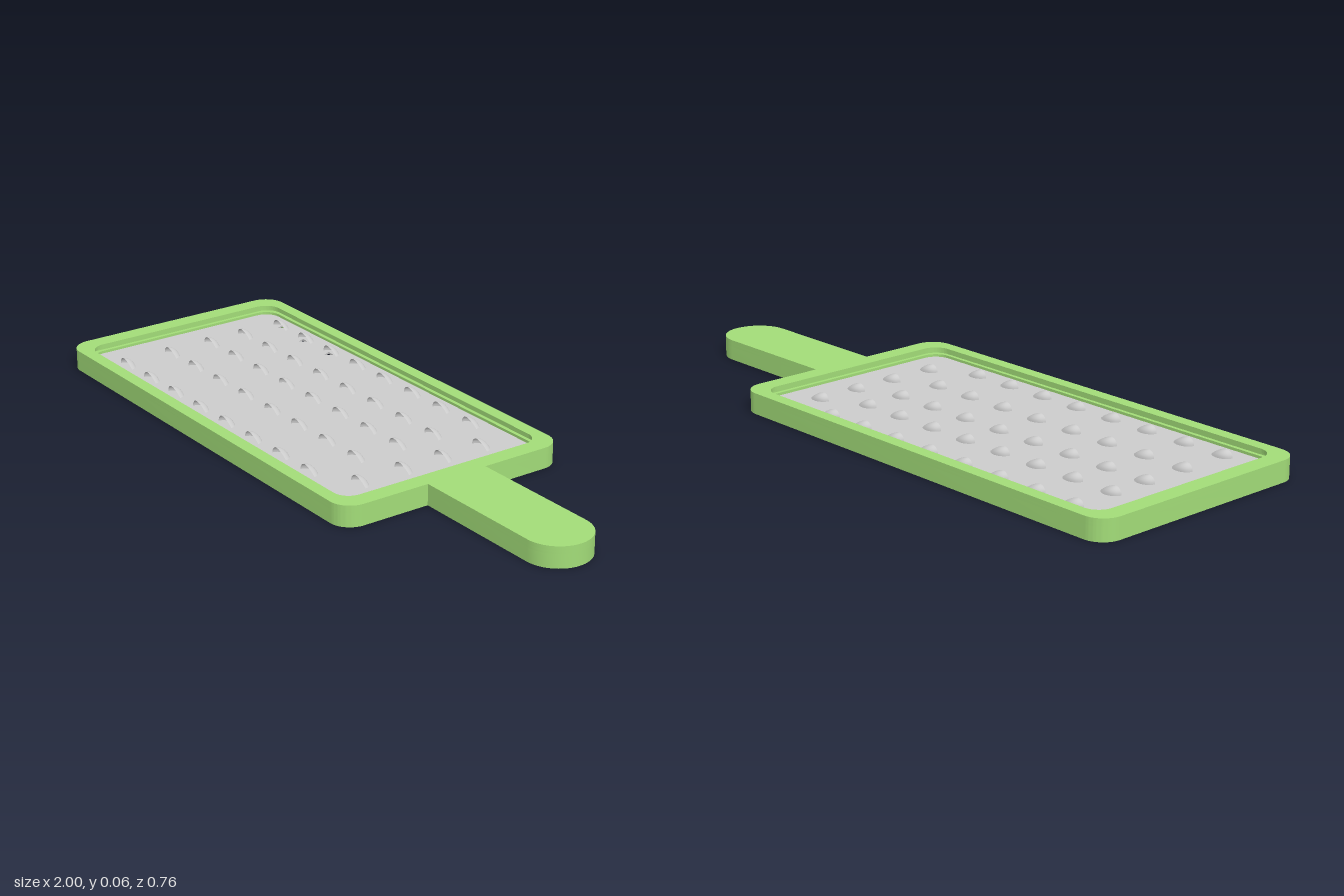
import * as THREE from 'three';
import { toCreasedNormals } from 'three/addons/utils/BufferGeometryUtils.js';

// Traces a rounded rectangle from (x0, -z) to (x1, z)
function roundedRect(path, x0, x1, z, r) {
  path.moveTo(x0 + r, -z);
  path.lineTo(x1 - r, -z);
  path.absarc(x1 - r, -z + r, r, -Math.PI / 2, 0);
  path.lineTo(x1, z - r);
  path.absarc(x1 - r, z - r, r, 0, Math.PI / 2);
  path.lineTo(x0 + r, z);
  path.absarc(x0 + r, z - r, r, Math.PI / 2, Math.PI);
  path.lineTo(x0, -z + r);
  path.absarc(x0 + r, -z + r, r, Math.PI, Math.PI * 1.5);
  return path;
}

// Frame and handle share one outline
function bodyOutline() {
  const s = new THREE.Shape();
  const r = 0.065, x0 = -1, x1 = 0.48, z = 0.38, h = 0.1;
  s.moveTo(x0 + r, -z);
  s.lineTo(x1 - r, -z);
  s.absarc(x1 - r, -z + r, r, -Math.PI / 2, 0);
  s.lineTo(x1, -h);
  s.lineTo(1 - h, -h);
  s.absarc(1 - h, 0, h, -Math.PI / 2, Math.PI / 2);
  s.lineTo(x1, h);
  s.lineTo(x1, z - r);
  s.absarc(x1 - r, z - r, r, 0, Math.PI / 2);
  s.lineTo(x0 + r, z);
  s.absarc(x0 + r, z - r, r, Math.PI / 2, Math.PI);
  s.lineTo(x0, -z + r);
  s.absarc(x0 + r, -z + r, r, Math.PI, Math.PI * 1.5);
  return s;
}

// Extrudes a plan shape upwards from y0 to y1
function slab(shape, y0, y1) {
  const g = new THREE.ExtrudeGeometry(shape, { depth: y1 - y0, bevelEnabled: false, curveSegments: 12 });
  g.rotateX(-Math.PI / 2);
  g.translate(0, y0, 0);
  return toCreasedNormals(g, 0.6);
}

export function createModel() {
  const model = new THREE.Group();
  const green = new THREE.MeshStandardMaterial({ color: 0xa2dc78 });
  const grey = new THREE.MeshStandardMaterial({ color: 0xcccccc });
  const shell = new THREE.MeshStandardMaterial({ color: 0xcccccc, side: THREE.DoubleSide });

  const add = (parent, name, geometry, material) => {
    const mesh = new THREE.Mesh(geometry, material);
    mesh.name = name;
    parent.add(mesh);
    return mesh;
  };

  // Frame in three layers, the middle one set back to leave a groove inside
  const frame = new THREE.Group();
  frame.name = 'frameAndHandle';
  model.add(frame);
  const layers = [
    ['lowerFrame', 0, 0.042, 0],
    ['grooveFrame', 0.042, 0.052, 0.012],
    ['upperFrame', 0.052, 0.064, 0],
  ];
  for (const [name, y0, y1, inset] of layers) {
    const s = bodyOutline();
    s.holes.push(roundedRect(new THREE.Path(), -0.945 - inset, 0.425 + inset, 0.34 + inset, 0.05));
    add(frame, name, slab(s, y0, y1), green);
  }

  // Grating plate with three small punched holes
  const plateTop = 0.034;
  const plate = roundedRect(new THREE.Shape(), -0.95, 0.43, 0.345, 0.05);
  for (const [x, z] of [[-0.822, -0.294], [-0.682, -0.278], [-0.54, -0.278]]) {
    const hole = new THREE.Path();
    hole.moveTo(x, -z + 0.012);
    hole.lineTo(x + 0.03, -z + 0.01);
    hole.lineTo(x + 0.012, -z - 0.014);
    hole.closePath();
    plate.holes.push(hole);
  }
  add(model, 'gratingPlate', slab(plate, plateTop - 0.006, plateTop), grey);

  // Tooth: half dome facing the handle, its mouth leaning back
  const tooth = new THREE.SphereGeometry(1, 12, 6, -Math.PI / 2, Math.PI, 0, Math.PI / 2);
  tooth.rotateY(Math.PI / 2);
  tooth.scale(0.034, 0.022, 0.027);
  tooth.computeBoundingBox();
  if (tooth.boundingBox.max.x > 0.01) tooth.rotateY(Math.PI);
  const p = tooth.attributes.position;
  for (let i = 0; i < p.count; i++) p.setX(i, p.getX(i) * (1 - 0.3 * p.getY(i) / 0.022) - 0.6 * p.getY(i));
  tooth.computeVertexNormals();

  const teeth = new THREE.Group();
  teeth.name = 'teeth';
  model.add(teeth);
  const addTooth = (x, z) => add(teeth, 'tooth', tooth, shell).position.set(x, plateTop, z);
  for (let c = 0; c < 8; c++) {
    for (const z of [-0.285, -0.147, -0.02, 0.127, 0.287]) addTooth(-0.808 + c * 0.1405, z);
  }
  for (const z of [-0.21, -0.072, 0.067, 0.216]) addTooth(0.318, z);

  return model;
}
